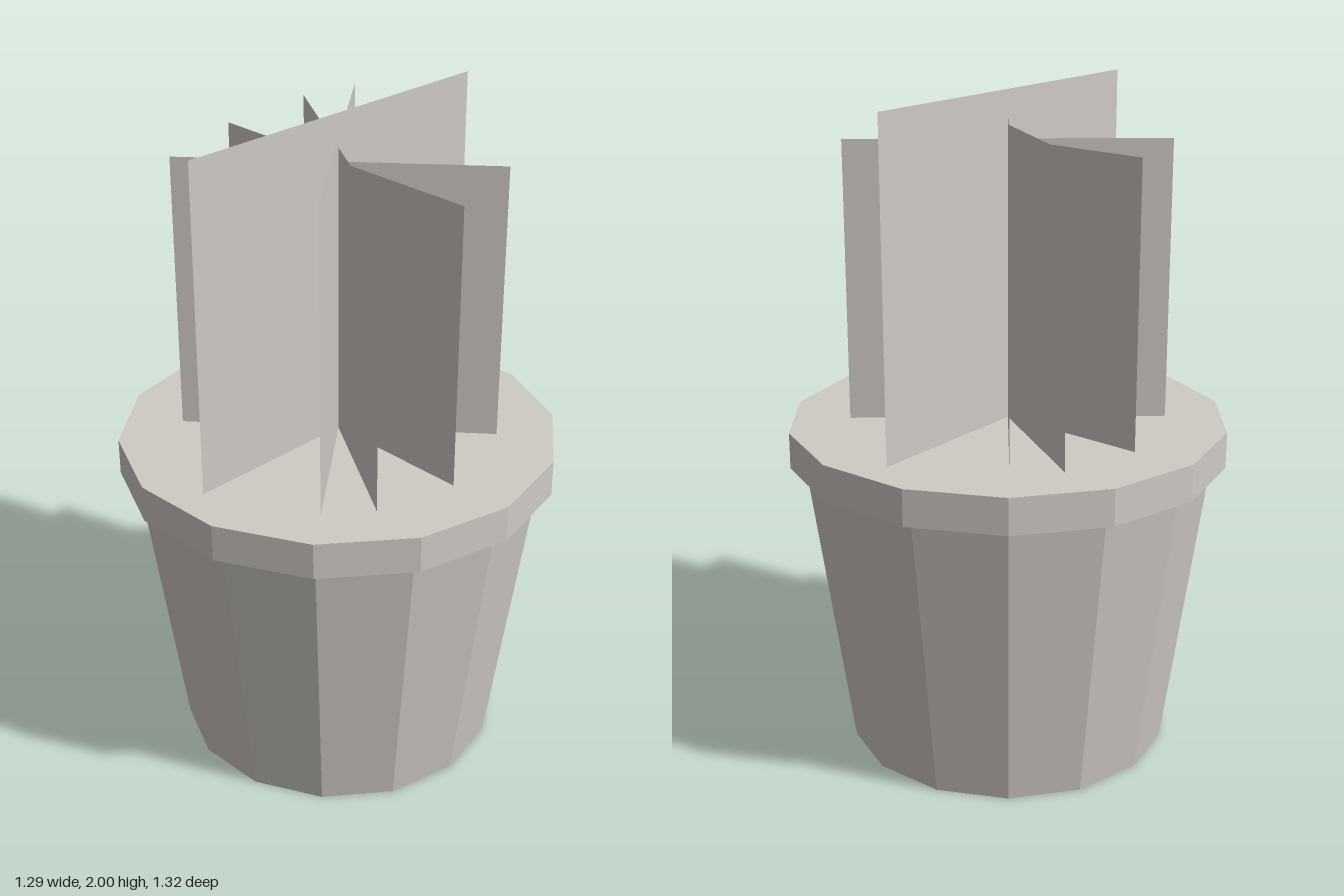
import * as THREE from 'three';

export function createModel() {
  const model = new THREE.Group();
  model.name = 'pottedPlant';
  const stone = new THREE.MeshStandardMaterial({ color: 0xcfcac4, flatShading: true, side: THREE.DoubleSide });
  stone.name = 'warm grey';

  const add = (name, geometry, y, parent = model) => {
    const mesh = new THREE.Mesh(geometry, stone);
    mesh.name = name;
    mesh.position.y = y;
    parent.add(mesh);
    return mesh;
  };

  // Pot: tapered body under a wider rim, both 14-sided
  const sides = 14, bodyTop = 0.91, rimTop = 1.02;
  add('potBody', new THREE.CylinderGeometry(0.615, 0.49, bodyTop, sides), bodyTop / 2);
  add('potRim', new THREE.CylinderGeometry(0.66, 0.66, rimTop - bodyTop, sides), (bodyTop + rimTop) / 2);

  // Foliage: thin upright cards crossing on the axis, given by one end (x, z) and the top height
  const foliage = new THREE.Group();
  foliage.name = 'foliage';
  model.add(foliage);
  const cards = [
    [0.003, 0.51, 1.93],
    [0.155, 0.47, 1.9],
    [0.36, 0.31, 1.86],
    [0.475, -0.008, 1.86],
    [0.335, -0.27, 1.78],
    [0.338, -0.43, 2],
  ];
  cards.forEach(([x, z, top], i) => {
    const card = new THREE.PlaneGeometry(2 * Math.hypot(x, z), top - rimTop);
    add(`foliageCard${i + 1}`, card, (top + rimTop) / 2, foliage).rotation.y = Math.atan2(-z, x);
  });

  return model;
}
